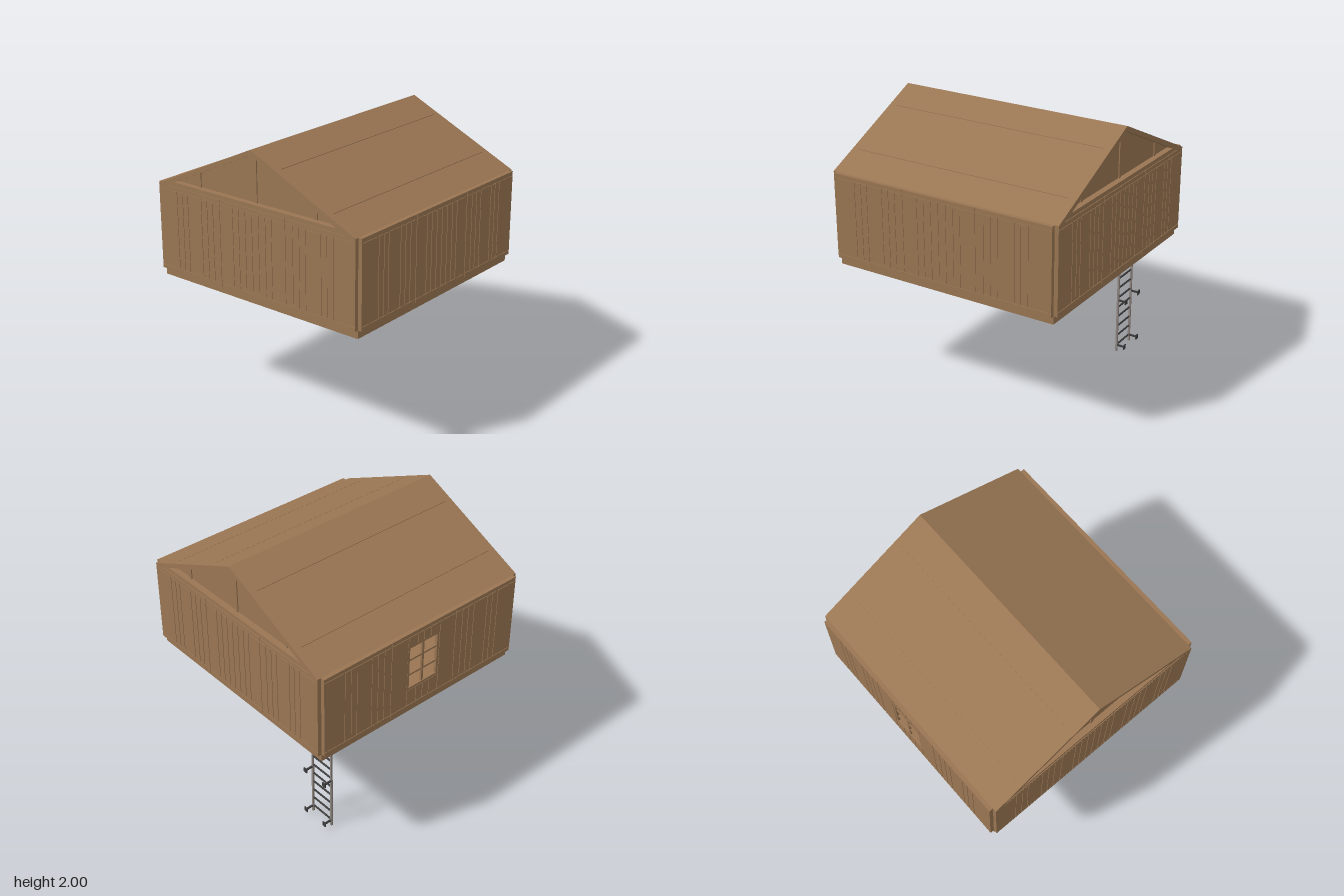
import * as THREE from 'three';

const wood = new THREE.MeshStandardMaterial({ color: 0x9a7653 });
wood.name = 'brown wood';
const steel = new THREE.MeshStandardMaterial({ color: 0x8f8680 });
steel.name = 'grey steel';
const iron = new THREE.MeshStandardMaterial({ color: 0x3c3a3a });
iron.name = 'dark iron';

function add(parent, name, geometry, material = wood) {
  const mesh = new THREE.Mesh(geometry, material);
  mesh.name = name;
  parent.add(mesh);
  return mesh;
}

// Box given by its two extreme corners
function block(parent, name, x0, x1, y0, y1, z0, z1, material = wood) {
  const g = new THREE.BoxGeometry(x1 - x0, y1 - y0, z1 - z0);
  g.translate((x0 + x1) / 2, (y0 + y1) / 2, (z0 + z1) / 2);
  return add(parent, name, g, material);
}

function polygon(points) {
  return new THREE.Shape(points.map(([x, y]) => new THREE.Vector2(x, y)));
}
const rect = (x0, x1, y0, y1) => polygon([[x0, y0], [x1, y0], [x1, y1], [x0, y1]]);

function extrude(shape, depth) {
  return new THREE.ExtrudeGeometry(shape, { depth, bevelEnabled: false });
}

const HALF = 0.88, OUT = 0.91, FLOOR = 0.95, EAVE = 1.59;
const HATCH = [-0.71, -0.48, -0.68, -0.45];
const WINDOW = { u: 0.145, y0: 1.11, y1: 1.48 };

// Horizontal slab with holes, each hole given as x0, x1, z0, z1
function deck(parent, name, y0, y1, holes) {
  const shape = rect(-HALF, HALF, -HALF, HALF);
  shape.holes = holes.map((h) => rect(...h));
  const g = extrude(shape, y1 - y0);
  g.rotateX(Math.PI / 2).translate(0, y1, 0);
  add(parent, name, g);
}

function makeFloor() {
  const floor = new THREE.Group();
  floor.name = 'floor';
  const cell = (2 * HALF) / 3;
  const slots = [];
  for (let i = 0; i < 3; i++) {
    for (let j = 0; j < 3; j++) {
      if (i === 0 && j === 0) continue; // hatch bay stays solid
      const cx = (i - 1) * cell, cz = (j - 1) * cell;
      for (const s of [-1, 1]) {
        const x = cx + s * 0.135;
        slots.push([x - 0.105, x + 0.105, cz - 0.23, cz + 0.23]);
      }
    }
  }
  deck(floor, 'floorBoards', 0.94, FLOOR, [HATCH]);
  deck(floor, 'floorFrame', 0.89, 0.94, [...slots, HATCH]);
  // Slats lining the recesses underneath
  for (const [x0, x1, z0, z1] of slots) {
    for (let k = 0; k < 8; k++) {
      const z = z0 + ((k + 0.5) * (z1 - z0)) / 8;
      block(floor, 'underSlat', x0, x1, 0.934, 0.94, z - 0.023, z + 0.023);
    }
  }
  return floor;
}

// One wall facing +z, later turned to each side
function makeWall(name, hasWindow) {
  const wall = new THREE.Group();
  wall.name = name;
  const { u, y0, y1 } = WINDOW;
  const back = rect(-HALF, HALF, FLOOR, EAVE);
  if (hasWindow) back.holes.push(rect(-u, u, y0, y1));
  add(wall, 'wallPanel', extrude(back, 0.026).translate(0, 0, HALF));

  const z0 = 0.906, gap = 0.003;
  const centre = hasWindow ? [0.06, u] : [0.06, 0.12, 0.175];
  const half = [...centre, 0.295, 0.36, 0.415, 0.47, 0.6, 0.65, 0.705, HALF];
  const cuts = [...half.map((v) => -v).reverse(), 0, ...half];
  for (let i = 0; i < cuts.length - 1; i++) {
    const a = cuts[i] + (i ? gap : 0);
    const b = cuts[i + 1] - (i < cuts.length - 2 ? gap : 0);
    const split = hasWindow && Math.abs((a + b) / 2) < u;
    const spans = split ? [[0.982, y0], [y1, 1.556]] : [[0.982, 1.556]];
    for (const [lo, hi] of spans) block(wall, 'wallBoard', a, b, lo, hi, z0, OUT);
  }
  // Top and bottom rails of the three bays
  for (let i = 0; i < 3; i++) {
    const a = -HALF + (i * 2 * HALF) / 3, b = a + (2 * HALF) / 3;
    const l = a + (i ? gap : 0), r = b - (i < 2 ? gap : 0);
    block(wall, 'bottomRail', l, r, FLOOR, 0.978, z0, OUT);
    block(wall, 'topRail', l, r, 1.56, EAVE, z0, OUT);
  }
  if (hasWindow) {
    const frame = rect(-u, u, y0, y1);
    frame.holes.push(rect(-u + 0.018, u - 0.018, y0 + 0.018, y1 - 0.018));
    add(wall, 'windowFrame', extrude(frame, 0.022).translate(0, 0, 0.886));
    block(wall, 'windowMullion', -0.009, 0.009, y0, y1, 0.888, 0.904);
    for (const t of [1, 2]) {
      const y = y0 + ((y1 - y0) * t) / 3;
      block(wall, 'windowBar', -u, u, y - 0.007, y + 0.007, 0.89, 0.902);
    }
  }
  return wall;
}

const roofY = (x) => 2 - ((2 - EAVE) / HALF) * Math.abs(x);

// Sloping slab between x0 and x1, lying "drop" below the roof surface
function slope(parent, name, x0, x1, drop, thick, z0, z1) {
  const top = (x) => roofY(x) - drop;
  const g = extrude(polygon([
    [x0, top(x0) - thick], [x1, top(x1) - thick], [x1, top(x1)], [x0, top(x0)],
  ]), z1 - z0);
  add(parent, name, g.translate(0, 0, z0));
}

function makeRoof() {
  const roof = new THREE.Group();
  roof.name = 'roof';
  for (const s of [-1, 1]) {
    const strip = (name, a, b, ...rest) =>
      slope(roof, name, Math.min(s * a, s * b), Math.max(s * a, s * b), ...rest);
    strip('roofSlab', 0, HALF, 0.004, 0.034, -OUT, OUT);
    // Roof covering in bands, joined along the verges
    const edges = [0, 0.22, 0.66, HALF];
    for (let i = 0; i < 3; i++) {
      const a = edges[i] + (i ? 0.002 : 0), b = edges[i + 1] - (i < 2 ? 0.002 : 0);
      strip('roofBand', a, b, 0, 0.004, -0.855, 0.855);
    }
    for (const [z0, z1] of [[-OUT, -0.855], [0.855, OUT]]) {
      strip('roofVerge', 0, HALF, 0, 0.004, z0, z1);
    }
  }
  // Recessed gables with tie beam and studs
  for (const s of [-1, 1]) {
    const gable = new THREE.Group();
    gable.name = s > 0 ? 'frontGable' : 'backGable';
    const panel = polygon([[-0.84, EAVE], [0.84, EAVE], [0, 1.975]]);
    add(gable, 'gablePanel', extrude(panel, 0.02).translate(0, 0, 0.84));
    const beam = polygon([
      [-HALF, EAVE], [HALF, EAVE], [0.8, 1.622], [-0.8, 1.622],
    ]);
    add(gable, 'tieBeam', extrude(beam, 0.045).translate(0, 0, 0.86));
    for (const x of [-0.52, 0, 0.52]) {
      block(gable, 'gableStud', x - 0.012, x + 0.012, 1.6, roofY(x) - 0.03, 0.855, 0.868);
    }
    if (s < 0) gable.rotation.y = Math.PI;
    roof.add(gable);
  }
  return roof;
}

function makeLadder() {
  const ladder = new THREE.Group();
  ladder.name = 'ladder';
  const z = -0.632;
  for (const x of [-0.69, -0.49]) {
    block(ladder, 'ladderRail', x - 0.007, x + 0.007, 0, 0.94, z - 0.007, z + 0.007, steel);
    // Stand-off brackets with end plates
    for (const y of [0.05, 0.43, 0.81]) {
      block(ladder, 'bracketArm', x - 0.006, x + 0.006, y - 0.006, y + 0.006, -0.7, z, iron);
      block(ladder, 'bracketPlate', x - 0.016, x + 0.016, y - 0.018, y + 0.018, -0.703, -0.696, iron);
    }
  }
  for (let i = 0; i < 11; i++) {
    const g = new THREE.CylinderGeometry(0.007, 0.007, 0.2, 8);
    g.rotateZ(Math.PI / 2).translate(-0.59, 0.05 + i * 0.0795, z + 0.003);
    add(ladder, 'ladderRung', g, iron);
  }
  return ladder;
}

export function createModel() {
  const model = new THREE.Group();
  model.name = 'raisedCabin';
  model.add(makeFloor(), makeRoof(), makeLadder());
  ['frontWall', 'leftWall', 'backWall', 'rightWall'].forEach((name, i) => {
    const wall = makeWall(name, name === 'rightWall');
    wall.rotation.y = (i * Math.PI) / 2;
    model.add(wall);
  });
  return model;
}
